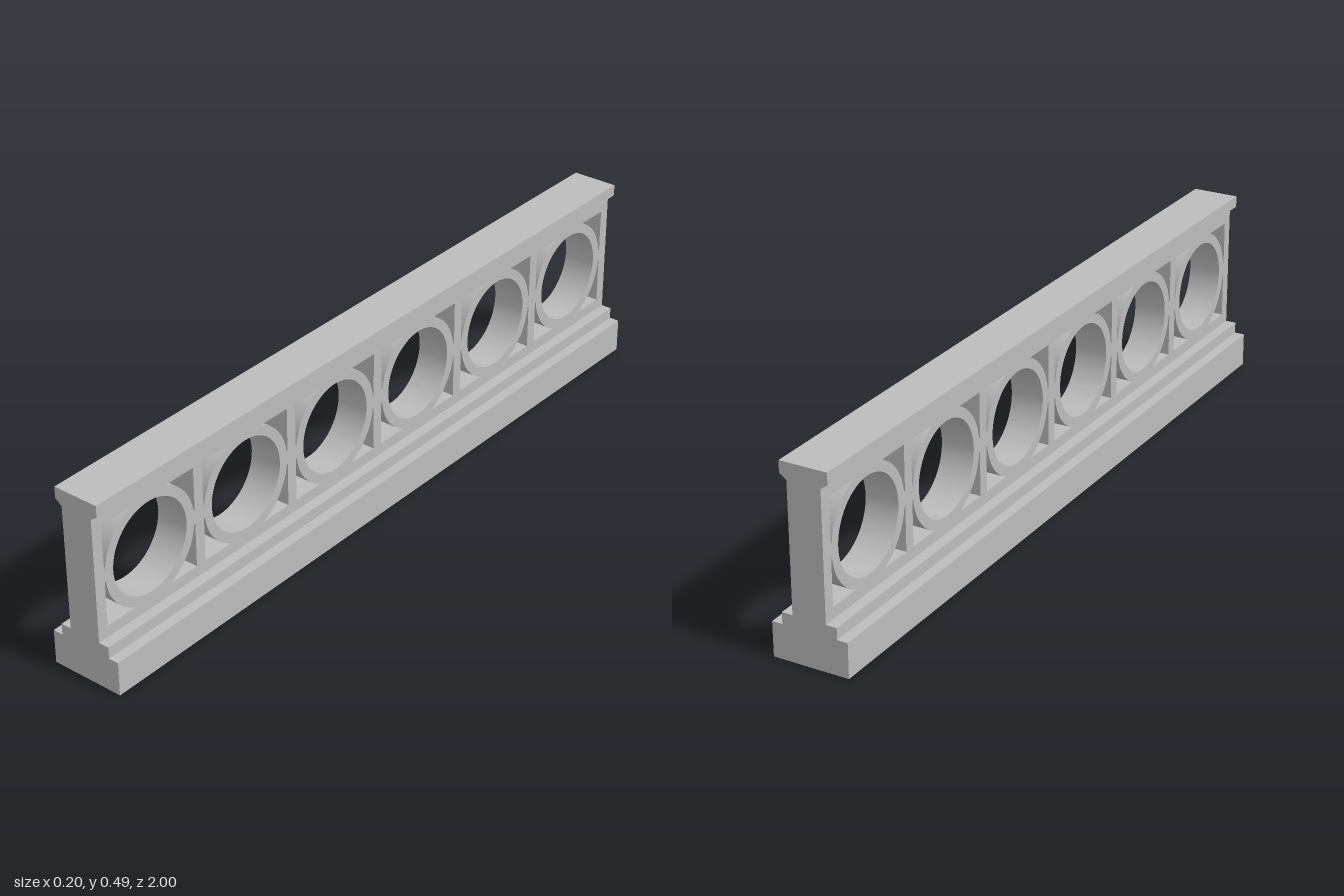
import * as THREE from 'three';
import { toCreasedNormals } from 'three/addons/utils/BufferGeometryUtils.js';

const LENGTH = 2, BAYS = 6, POST = 0.03, PITCH = (LENGTH - POST) / BAYS;
const WEB = 0.044;                       // half thickness of the pierced wall
const MID_Y = 0.285, HALF_H = 0.135;     // opening centre height and half height
const HALF_W = (PITCH - POST) / 2;       // opening half width
const RING_OUT = 0.147, RING_IN = 0.121;

const stone = new THREE.MeshStandardMaterial({ color: 0xbcbcbc });
stone.name = 'grey stone';

// closed shape from the right half of a profile, mirrored across x = 0
function mirrored(half) {
  const pts = [...half, ...half.map(([x, y]) => [-x, y]).reverse()];
  return new THREE.Shape(pts.map(([x, y]) => new THREE.Vector2(x, y)));
}

// extrude along z, centred on z = 0
function extrude(shape, depth) {
  const g = new THREE.ExtrudeGeometry(shape, { depth, bevelEnabled: false, curveSegments: 32 });
  return g.translate(0, 0, -depth / 2);
}

function add(group, name, geometry, z = 0) {
  const mesh = new THREE.Mesh(geometry, stone);
  mesh.name = name;
  mesh.position.z = z;
  group.add(mesh);
}

// gap between the ring and one corner of its bay
function cornerHole(cz, sx, sy) {
  const a0 = Math.asin(HALF_H / RING_OUT), a1 = 0.12, n = 8;
  const pts = [new THREE.Vector2(cz + sx * HALF_W, MID_Y + sy * HALF_H)];
  for (let i = 0; i <= n; i++) {
    const a = a0 + (a1 - a0) * i / n;
    pts.push(new THREE.Vector2(cz + sx * RING_OUT * Math.cos(a), MID_Y + sy * RING_OUT * Math.sin(a)));
  }
  pts.push(new THREE.Vector2(cz + sx * HALF_W, MID_Y + sy * RING_OUT * Math.sin(a1)));
  return new THREE.Path(pts);
}

export function createModel() {
  const model = new THREE.Group();
  model.name = 'balustrade';

  // pierced wall: rails, posts and rings in one piece
  const wall = new THREE.Shape([[-1, 0.118], [1, 0.118], [1, 0.45], [-1, 0.45]]
    .map(([x, y]) => new THREE.Vector2(x, y)));
  for (let i = 0; i < BAYS; i++) {
    const cz = (i - (BAYS - 1) / 2) * PITCH;
    wall.holes.push(new THREE.Path().absarc(cz, MID_Y, RING_IN, 0, Math.PI * 2, true));
    for (const sx of [-1, 1]) for (const sy of [-1, 1]) wall.holes.push(cornerHole(cz, sx, sy));
  }
  const wallGeometry = extrude(wall, WEB * 2).rotateY(-Math.PI / 2);
  add(model, 'ringWall', toCreasedNormals(wallGeometry, 0.5));

  // handrail with chamfered underside
  const cap = mirrored([[WEB, 0.45], [0.0625, 0.463], [0.0625, 0.493]]);
  add(model, 'handrail', extrude(cap, LENGTH));

  // hollow stepped plinth, open underneath
  const t = 0.003;
  const shell = mirrored([
    [0.1 - t, 0], [0.1, 0], [0.1, 0.09], [0.0725, 0.09], [0.0725, 0.12],
  ]);
  // inner outline closes the shell back to its starting points
  const inner = [[-0.1 + t, 0.09 - t], [-0.0725 + t, 0.09 - t], [-0.0725 + t, 0.12 - t],
    [0.0725 - t, 0.12 - t], [0.0725 - t, 0.09 - t], [0.1 - t, 0.09 - t]];
  for (const [x, y] of inner) shell.lineTo(x, y);
  add(model, 'plinthShell', extrude(shell, LENGTH - 0.002));

  // stepped ribs closing the plinth ends and dividing its underside
  const rib = extrude(mirrored([[0.1, 0], [0.1, 0.09], [0.0725, 0.09], [0.0725, 0.12]]), POST);
  for (let i = 0; i <= BAYS; i++) add(model, 'plinthRib', rib, (i - BAYS / 2) * PITCH);

  return model;
}
